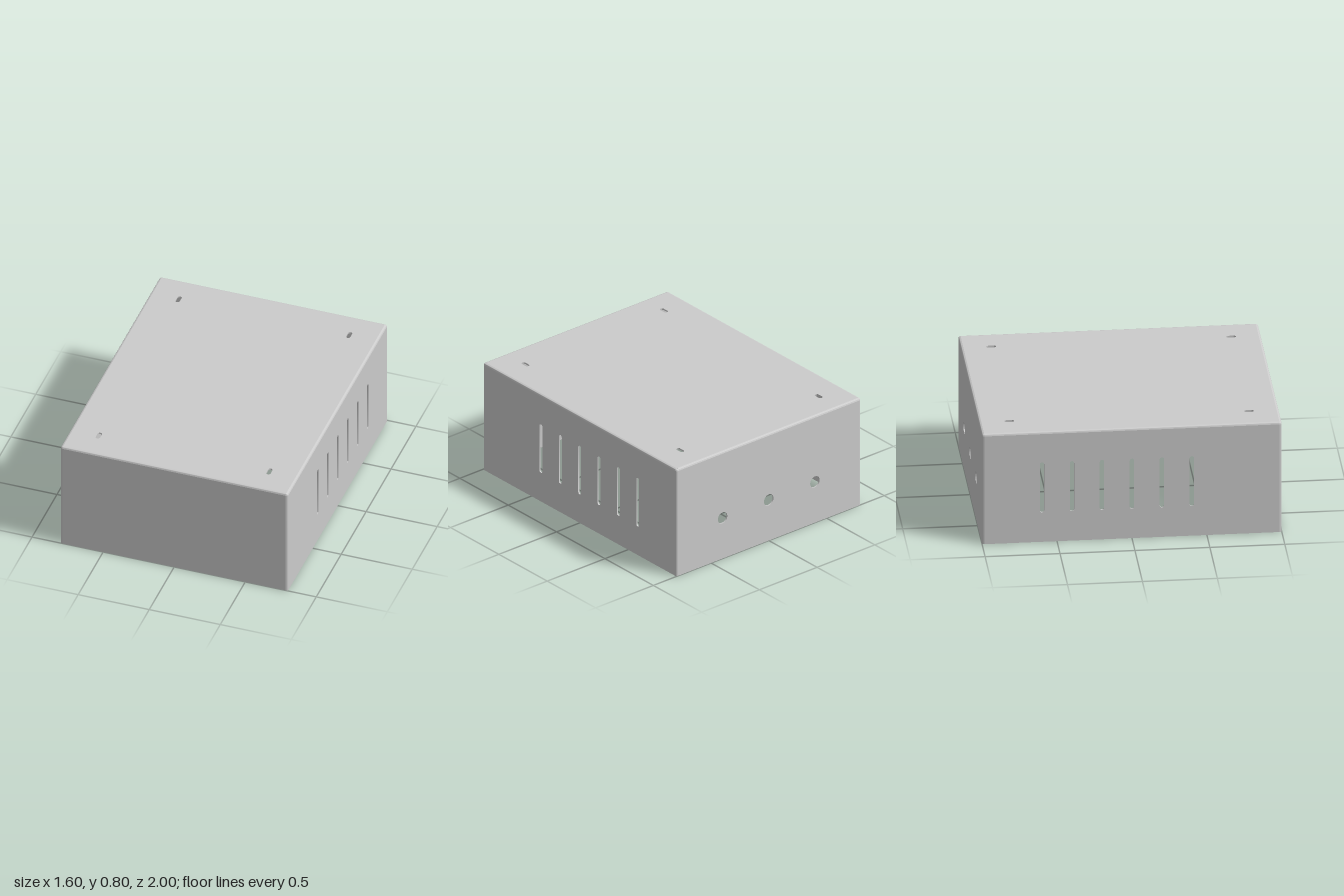
import * as THREE from 'three';
import { toCreasedNormals } from 'three/addons/utils/BufferGeometryUtils.js';

const W = 1.6, H = 0.8, D = 2;   // outer size
const T = 0.01, R = 0.015;       // sheet thickness, outer bend radius
const material = new THREE.MeshStandardMaterial({ color: 0xcccccc });

function mesh(name, geometry) {
  const m = new THREE.Mesh(toCreasedNormals(geometry, 0.6), material);
  m.name = name;
  return m;
}

// Upright rounded slot; a round hole when length equals width
function slot(x, y, width, length) {
  const r = width / 2, h = (length - width) / 2;
  const path = new THREE.Path();
  path.absarc(x, y + h, r, 0, Math.PI, false);
  path.absarc(x, y - h, r, Math.PI, Math.PI * 2, false);
  path.closePath();
  return path;
}

// Flat sheet in XY with its outer face at z = 0
function sheet(x0, y0, x1, y1, holes) {
  const shape = new THREE.Shape();
  shape.moveTo(x0, y0).lineTo(x1, y0).lineTo(x1, y1).lineTo(x0, y1).closePath();
  shape.holes = holes;
  return new THREE.ExtrudeGeometry(shape, { depth: T, bevelEnabled: false, curveSegments: 16 })
    .translate(0, 0, -T);
}

// Quarter-round fold running along z
function fold(length) {
  const shape = new THREE.Shape();
  shape.absarc(0, 0, R, 0, Math.PI / 2, false);
  shape.absarc(0, 0, R - T, Math.PI / 2, 0, true);
  shape.closePath();
  return new THREE.ExtrudeGeometry(shape, { depth: length, bevelEnabled: false, curveSegments: 6 });
}

// Eighth of a spherical shell joining three folds
function cornerShell() {
  const outer = [], inner = [];
  for (let i = 0; i <= 6; i++) {
    const a = (i / 6) * Math.PI / 2, c = i === 6 ? 0 : Math.cos(a), s = Math.sin(a);
    outer.push(new THREE.Vector2(R * c, R * s));
    inner.unshift(new THREE.Vector2((R - T) * c, (R - T) * s));
  }
  return new THREE.LatheGeometry([...outer, ...inner], 6, 0, Math.PI / 2);
}

// One wall with its top fold, one upright fold and one corner
function wall(name, angle, width, depth, holes) {
  const g = new THREE.Group();
  g.name = name;
  const hx = width / 2 - R, hz = depth / 2 - R, top = H - R;
  const panel = mesh(name + 'Panel', sheet(-hx, 0, hx, top, holes));
  panel.position.z = depth / 2;
  const topFold = mesh(name + 'TopFold', fold(2 * hx).translate(0, 0, -hx).rotateY(-Math.PI / 2));
  topFold.position.set(0, top, hz);
  const sideFold = mesh(name + 'SideFold', fold(top).rotateX(Math.PI / 2));
  sideFold.position.set(hx, top, hz);
  const corner = mesh(name + 'Corner', cornerShell());
  corner.position.set(hx, top, hz);
  g.add(panel, topFold, sideFold, corner);
  g.rotation.y = angle;
  return g;
}

export function createModel() {
  const model = new THREE.Group();
  model.name = 'enclosureCover';

  // Vent slots, mirrored on both sides
  const vents = (side) => [0.4, 0.2, 0, -0.2, -0.4, -0.6].map((z) => slot(-side * z, 0.397, 0.03, 0.365));
  // Round cable holes in the back
  const cableHoles = [-0.4, 0, 0.4].map((x) => slot(x, 0.305, 0.082, 0.082));

  model.add(
    wall('frontWall', 0, W, D, []),
    wall('leftWall', Math.PI / 2, D, W, vents(1)),
    wall('backWall', Math.PI, W, D, cableHoles),
    wall('rightWall', -Math.PI / 2, D, W, vents(-1)),
  );

  // Roof with a mounting slot near each corner
  const mounts = [];
  for (const x of [-0.6, 0.6]) for (const z of [-0.8, 0.8]) mounts.push(slot(x, z, 0.03, 0.066));
  const hx = W / 2 - R, hz = D / 2 - R;
  const roof = mesh('roof', sheet(-hx, -hz, hx, hz, mounts).rotateX(-Math.PI / 2));
  roof.position.y = H;
  model.add(roof);
  return model;
}
